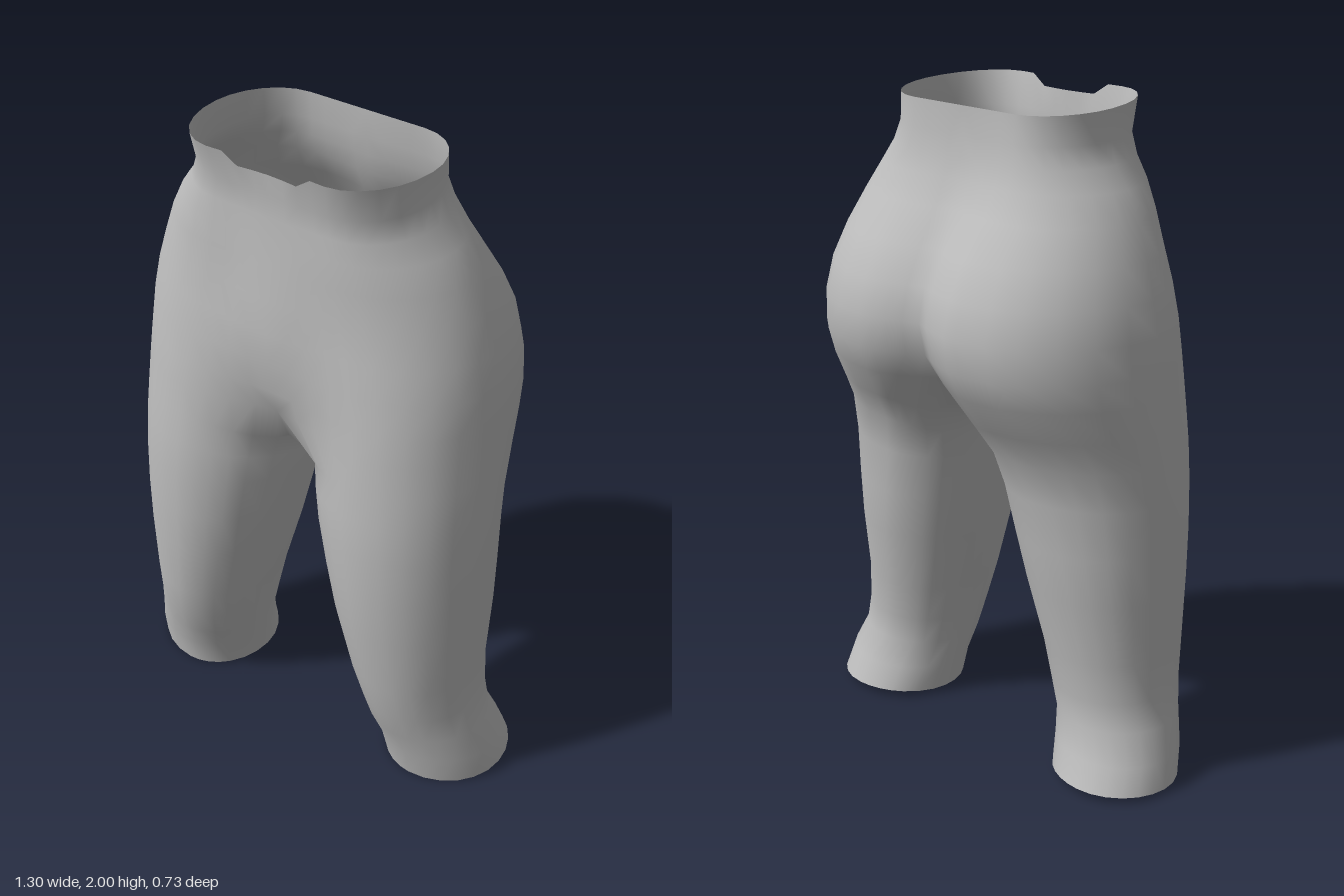
import * as THREE from 'three';
import { mergeVertices } from 'three/addons/utils/BufferGeometryUtils.js';

// Hip sections, top down: y, outer x, mid z, front peak x and z, front centre z, back peak x and z, back centre z
const HIPS = [
  [2.00, .355, .08, .19, .32, .305, .19, -.13, -.13],
  [1.90, .355, .08, .18, .295, .30, .19, -.135, -.13],
  [1.84, .378, .075, .19, .298, .303, .20, -.148, -.14],
  [1.78, .427, .07, .20, .30, .307, .20, -.165, -.15],
  [1.70, .475, .06, .20, .305, .315, .20, -.21, -.18],
  [1.60, .517, .05, .22, .305, .325, .19, -.285, -.24],
  [1.50, .55, .04, .25, .315, .335, .19, -.338, -.29],
  [1.40, .57, .04, .27, .325, .33, .19, -.365, -.312],
  [1.30, .577, .04, .29, .335, .315, .20, -.358, -.29],
  [1.22, .58, .045, .30, .345, .29, .21, -.325, -.235],
];

// Leg sections, top down: y, inner dip, outer x, inner x, mid z, front peak x and z, back peak x and z
const LEGS = [
  [1.12, .09, .585, .03, .06, .31, .352, .23, -.265],
  [1.02, .05, .588, .04, .07, .32, .362, .26, -.20],
  [.90, 0, .59, .055, .08, .33, .367, .29, -.17],
  [.75, 0, .59, .09, .09, .34, .365, .32, -.155],
  [.60, 0, .588, .125, .095, .35, .357, .35, -.135],
  [.40, 0, .58, .18, .10, .38, .335, .38, -.10],
  [.28, 0, .585, .21, .095, .40, .31, .40, -.09],
  [.19, 0, .605, .232, .09, .41, .285, .42, -.085],
  [.10, 0, .638, .25, .06, .44, .255, .46, -.115],
  [0, 0, .65, .265, .04, .44, .235, .47, -.15],
];

// Crotch seam from back to front: y, z
const CROTCH = [[1.14, -.13], [1.10, -.03], [1.085, .07], [1.085, .16], [1.11, .24]];

const SEG = 4, QUAD = 6;
const HALF = Math.PI / 2;

// Outer half shared by hips and legs: front peak, outer side, back peak
function outerArc(y, xo, zm, xf, zf, xb, zb) {
  const points = [];
  for (let i = 0; i <= 2 * QUAD; i++) {
    const a = i / QUAD * HALF;
    const [px, pz] = i < QUAD ? [xf, zf] : [xb, zb];
    points.push([px + (xo - px) * Math.sin(a), y, zm + (pz - zm) * Math.abs(Math.cos(a))]);
  }
  return points;
}

// Open section from front centre round the side to back centre
function hipRing([y, xo, zm, xf, zf, zf0, xb, zb, zb0]) {
  const front = [], back = [];
  for (let i = 0; i < SEG; i++) {
    const u = i / SEG;
    front.push([u * xf, y, zf0 + (zf - zf0) * u * u * (3 - 2 * u)]);
    back.unshift([u * xb, y, zb0 + (zb - zb0) * Math.sin(u * HALF)]);
  }
  return [...front, ...outerArc(y, xo, zm, xf, zf, xb, zb), ...back];
}

// Closed section; the inner thigh sags by the dip
function legRing([y, dip, xo, xin, zm, xf, zf, xb, zb]) {
  const inner = (a, px, pz) => {
    const s = Math.sin(a);
    return [px - (px - xin) * s, y - dip * s * s, zm + (pz - zm) * Math.cos(a)];
  };
  const front = [], back = [], thigh = [];
  for (let i = SEG; i > 0; i--) {
    const a = i / SEG * HALF / 2;
    front.push(inner(a, xf, zf));
    back.unshift(inner(a, xb, zb));
  }
  const n = CROTCH.length + 1;
  for (let i = 1; i < n; i++) {
    const a = HALF / 2 + i / n * HALF;
    thigh.push(a <= HALF ? inner(a, xb, zb) : inner(Math.PI - a, xf, zf));
  }
  return [...front, ...outerArc(y, xo, zm, xf, zf, xb, zb), ...back, ...thigh];
}

// Joins successive rings with triangles for one side (side = 1 or -1)
function loft(rings, closed, side, out) {
  const put = (...points) => {
    if (side < 0) points.reverse();
    for (const [x, y, z] of points) out.push(x * side, y, z);
  };
  for (let i = 0; i + 1 < rings.length; i++) {
    const p = rings[i], q = rings[i + 1], n = p.length;
    for (let j = 0; j < (closed ? n : n - 1); j++) {
      const k = (j + 1) % n;
      put(p[j], q[j], p[k]);
      put(p[k], q[j], q[k]);
    }
  }
}

export function createModel() {
  const hips = HIPS.map(hipRing);
  // Notched, slightly sloping waist edge
  for (const p of hips[0]) p[1] = 1.987 + .04 * p[2] - (p[2] > 0 && p[0] < .11 ? .032 : 0);

  const crotchRing = [...hips[hips.length - 1], ...CROTCH.map(([y, z]) => [0, y, z])];
  const legs = [crotchRing, ...LEGS.map(legRing)];
  // Sloping cuff edge
  for (const p of legs[legs.length - 1]) p[1] = .0141 - .06 * p[2];

  const positions = [];
  for (const side of [1, -1]) {
    loft(hips, false, side, positions);
    loft(legs, true, side, positions);
  }
  let geometry = new THREE.BufferGeometry();
  geometry.setAttribute('position', new THREE.Float32BufferAttribute(positions, 3));
  geometry = mergeVertices(geometry, 1e-4);
  geometry.computeVertexNormals();

  const cloth = new THREE.MeshStandardMaterial({ color: 0xbcbcbc, side: THREE.DoubleSide });
  cloth.name = 'grey cloth';
  const trousers = new THREE.Mesh(geometry, cloth);
  trousers.name = 'trousers';

  const group = new THREE.Group();
  group.name = 'trousersModel';
  group.add(trousers);
  return group;
}
